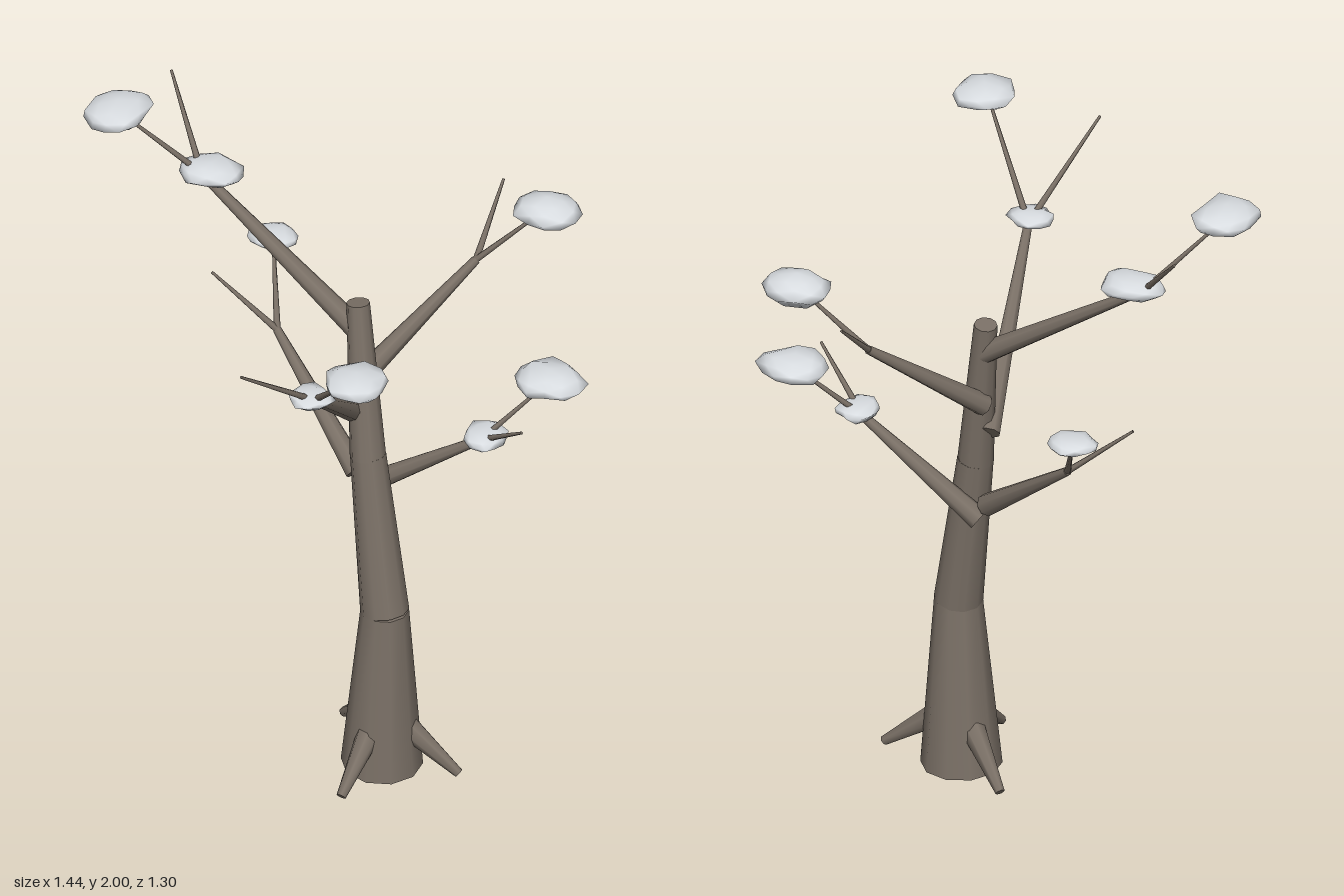
import * as THREE from 'three';
import { mergeVertices } from 'three/addons/utils/BufferGeometryUtils.js';

const bark = new THREE.MeshStandardMaterial({ color: 0x7a7066 });
bark.name = 'bark';
const snow = new THREE.MeshStandardMaterial({ color: 0xd8dce0 });
snow.name = 'snow';

const UP = new THREE.Vector3(0, 1, 0);

// Tapered limb from point a (radius ra) to point b (radius rb)
function limb(name, a, b, ra, rb, sides) {
  const start = new THREE.Vector3(...a), end = new THREE.Vector3(...b);
  const dir = end.clone().sub(start);
  const mesh = new THREE.Mesh(new THREE.CylinderGeometry(rb, ra, dir.length(), sides), bark);
  mesh.position.copy(start).add(end).multiplyScalar(0.5);
  mesh.quaternion.setFromUnitVectors(UP, dir.normalize());
  mesh.name = name;
  return mesh;
}

// Flattened, slightly irregular clump fitted to a centre and size
function clump(center, size, seed) {
  let s = seed * 7919 + 17;
  const rand = () => (s = (s * 16807) % 2147483647) / 2147483647;
  let geo = new THREE.IcosahedronGeometry(1, 1);
  geo.deleteAttribute('normal');
  geo.deleteAttribute('uv');
  geo = mergeVertices(geo, 1e-4);
  geo.rotateY(seed * 1.3);
  const p = geo.attributes.position;
  for (let i = 0; i < p.count; i++) {
    const k = 0.86 + 0.28 * rand();
    p.setXYZ(i, p.getX(i) * k, p.getY(i) * k, p.getZ(i) * k);
  }
  geo.center();
  const box = geo.boundingBox.getSize(new THREE.Vector3());
  geo.scale(size[0] / box.x, size[1] / box.y, size[2] / box.z);
  geo.center();
  geo.computeVertexNormals();
  const mesh = new THREE.Mesh(geo, snow);
  mesh.position.set(...center);
  mesh.name = 'snowClump';
  return mesh;
}

// Each branch: start, fork, twig tips, and clumps as [centre, size]
const branches = [
  { name: 'upperLeftBranch', from: [0.08, 1.385, -0.17], fork: [-0.43, 1.735, -0.25],
    twigs: [[-0.64, 1.96, -0.145], [-0.59, 1.935, -0.415]],
    clumps: [[[-0.405, 1.745, -0.252], [0.188, 0.064, 0.15]],
      [[-0.636, 1.965, -0.145], [0.17, 0.07, 0.205]]] },
  { name: 'frontBranch', from: [0.073, 1.12, -0.155], fork: [0.157, 1.51, 0.345],
    twigs: [[0.368, 1.77, 0.56], [0.05, 1.735, 0.615]],
    clumps: [[[0.157, 1.524, 0.357], [0.135, 0.042, 0.13]],
      [[0.369, 1.77, 0.562], [0.173, 0.069, 0.177]]] },
  { name: 'backBranch', from: [0.08, 1.22, -0.175], fork: [0.31, 1.5, -0.465],
    twigs: [[0.5, 1.69, -0.52], [0.316, 1.656, -0.65]],
    clumps: [[[0.505, 1.69, -0.519], [0.195, 0.085, 0.17]]] },
  { name: 'lowerRightBranch', from: [0.09, 0.855, -0.185], fork: [0.445, 1.11, -0.178],
    twigs: [[0.613, 1.29, -0.285], [0.613, 1.25, -0.068]],
    clumps: [[[0.458, 1.127, -0.177], [0.116, 0.042, 0.146]],
      [[0.613, 1.291, -0.285], [0.207, 0.074, 0.177]]] },
  { name: 'lowerBackBranch', from: [0.07, 0.9, -0.175], fork: [-0.248, 1.175, -0.362],
    twigs: [[-0.33, 1.365, -0.53], [-0.437, 1.333, -0.342]],
    clumps: [[[-0.329, 1.365, -0.53], [0.143, 0.042, 0.131]]] },
];

export function createModel() {
  const tree = new THREE.Group();
  tree.name = 'bareTree';

  // Trunk in three leaning, tapering sections
  const trunk = new THREE.Group();
  trunk.name = 'trunk';
  trunk.add(
    limb('lowerTrunk', [0.185, 0.003, -0.082], [0.196, 0.53, -0.077], 0.115, 0.068, 10),
    limb('middleTrunk', [0.195, 0.525, -0.078], [0.127, 1.01, -0.121], 0.069, 0.051, 10),
    limb('upperTrunk', [0.127, 1.005, -0.12], [0.074, 1.478, -0.176], 0.051, 0.033, 10));
  tree.add(trunk);

  // Three roots spread around the base
  for (const deg of [0, 97, 220]) {
    const c = Math.cos(deg * Math.PI / 180), s = Math.sin(deg * Math.PI / 180);
    const at = (r, y) => [0.185 + r * c, y, -0.084 + r * s];
    tree.add(limb('root', at(0.07, 0.145), at(0.232, 0.022), 0.036, 0.014, 7));
  }

  // Branches, each forking into two twigs, some carrying snow
  let seed = 1;
  for (const b of branches) {
    const group = new THREE.Group();
    group.name = b.name;
    group.add(limb('bough', b.from, b.fork, 0.033, 0.013, 8));
    for (const tip of b.twigs) group.add(limb('twig', b.fork, tip, 0.01, 0.004, 6));
    for (const [center, size] of b.clumps) group.add(clump(center, size, seed++));
    tree.add(group);
  }
  return tree;
}
